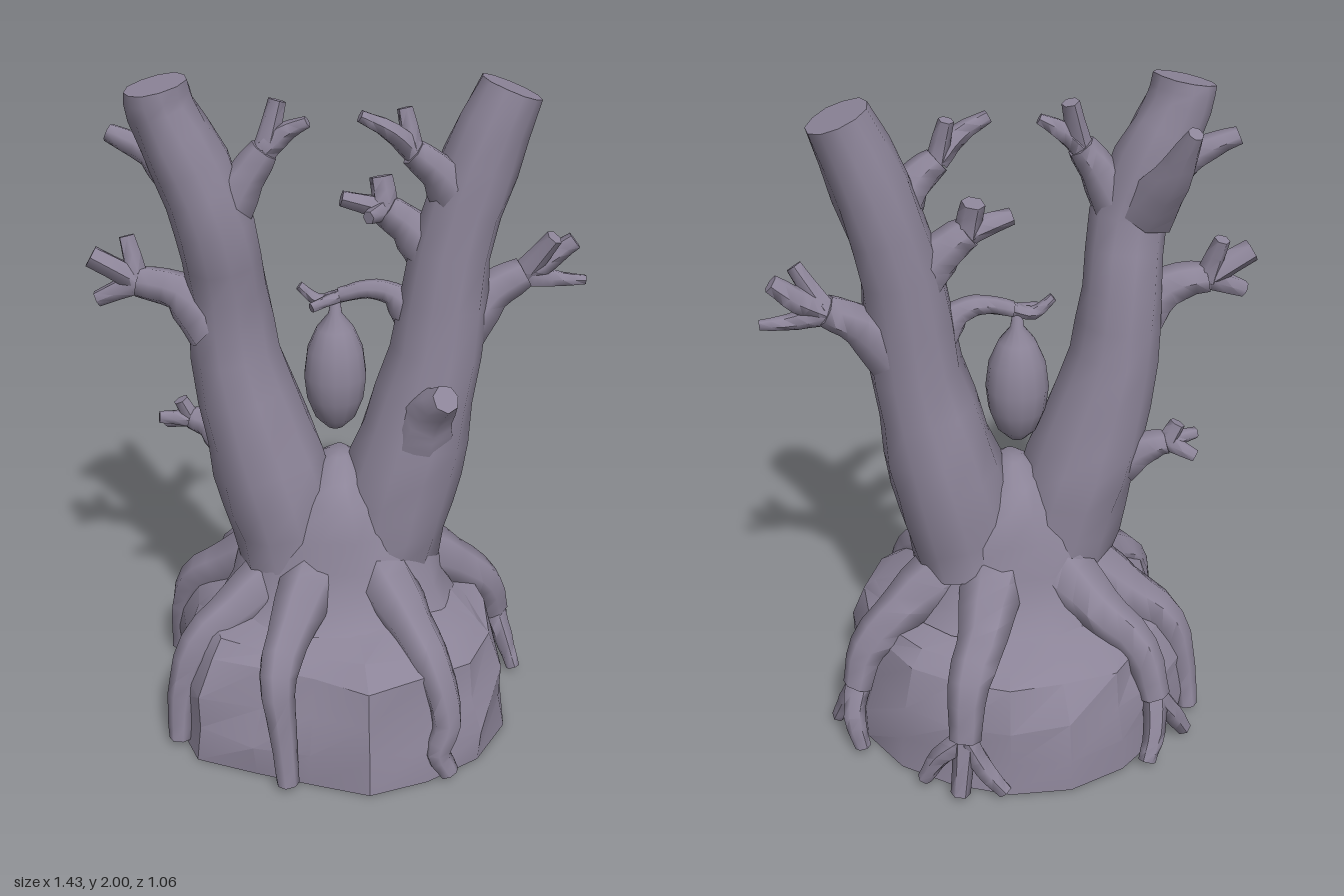
import * as THREE from 'three';
import { toCreasedNormals } from 'three/addons/utils/BufferGeometryUtils.js';

const V = (p) => new THREE.Vector3(p[0], p[1], p[2]);
const bark = new THREE.MeshStandardMaterial({ color: 0x8c8498 });
bark.name = 'grey violet bark';

// small seeded noise, -1..1
function makeRandom(seed) {
  let s = seed;
  return () => ((s = (s * 16807) % 2147483647) / 2147483647) * 2 - 1;
}

// skin a stack of equal rings, closing the chosen ends
function loft(rings, crease, closed = [0, rings.length - 1]) {
  const n = rings[0].length, pos = [], index = [];
  for (const ring of rings) for (const p of ring) pos.push(p.x, p.y, p.z);
  for (let i = 0; i < rings.length - 1; i++) {
    for (let j = 0; j < n; j++) {
      const k = (j + 1) % n, a = i * n + j, b = i * n + k;
      index.push(a, b, b + n, a, b + n, a + n);
    }
  }
  for (const end of closed) {
    const c = rings[end].reduce((s, p) => s.add(p), new THREE.Vector3()).divideScalar(n);
    const ci = pos.length / 3;
    pos.push(c.x, c.y, c.z);
    for (let j = 0; j < n; j++) {
      const a = end * n + j, b = end * n + (j + 1) % n;
      if (end) index.push(ci, a, b); else index.push(ci, b, a);
    }
  }
  const g = new THREE.BufferGeometry();
  g.setAttribute('position', new THREE.Float32BufferAttribute(pos, 3));
  g.setIndex(index);
  return toCreasedNormals(g, crease);
}

// tapered limb through points [x, y, z, radius], open where it is rooted
function limb(points, { sides = 7, steps = 3, rough = 0.06, depth = 1, seed = 7 } = {}) {
  const rnd = makeRandom(seed), rings = [];
  const curve = new THREE.CatmullRomCurve3(points.map(V));
  const count = (points.length - 1) * steps;
  const normal = new THREE.Vector3(0.3, 0.1, 1);
  for (let i = 0; i <= count; i++) {
    const t = i / count, f = t * (points.length - 1);
    const k = Math.min(Math.floor(f), points.length - 2);
    const r = THREE.MathUtils.lerp(points[k][3], points[k + 1][3], f - k);
    const c = curve.getPoint(t), tan = curve.getTangent(t);
    normal.addScaledVector(tan, -normal.dot(tan)).normalize();
    const side = tan.clone().cross(normal);
    const ring = [];
    for (let j = 0; j < sides; j++) {
      const a = (j / sides) * Math.PI * 2, rr = r * (1 + rough * rnd());
      const p = c.clone().addScaledVector(normal, Math.cos(a) * rr).addScaledVector(side, Math.sin(a) * rr);
      p.z = c.z + (p.z - c.z) * depth;
      p.y = Math.max(p.y, 0);
      ring.push(p);
    }
    rings.push(ring);
  }
  return loft(rings, 1.05, [count]);
}

// stacked level rings from levels [y, half width, half depth, jitter] and an outline of radii
function stack(levels, outline, seed, crease, closed) {
  const rnd = makeRandom(seed);
  return loft(levels.map(([y, w, d, jit]) => outline.map((r, i) => {
    const a = (i / outline.length) * Math.PI * 2, k = r + jit * rnd();
    return new THREE.Vector3(Math.cos(a) * k * w, y + jit * 0.5 * rnd(), -Math.sin(a) * k * d);
  })), crease, closed);
}

export function createModel() {
  const model = new THREE.Group();
  const add = (name, geometry, parent = model) => {
    const mesh = new THREE.Mesh(geometry, bark);
    mesh.name = name;
    parent.add(mesh);
    return mesh;
  };

  // a stem with forks growing out of its last point
  const branch = (name, stem, forks) => {
    const group = new THREE.Group();
    group.name = name;
    model.add(group);
    add('stem', limb(stem, { seed: 11 }), group);
    const tip = stem[stem.length - 1];
    forks.forEach((f, i) => {
      const path = Array.isArray(f[0]) ? f : [f];
      add('fork', limb([[tip[0], tip[1], tip[2], tip[3] * 0.85], ...path], { sides: 6, seed: 20 + i }), group);
    });
  };

  // rocky mound with a jagged outline
  const outline = [0.51, 0.52, 0.52, 0.51, 0.52, 0.53, 0.53, 0.53, 0.56, 0.5, 0.54, 0.56, 0.49, 0.48, 0.53, 0.53, 0.55, 0.55];
  add('rockMound', stack([
    [0, 1, 1, 0], [0.11, 0.995, 0.985, 0.02], [0.22, 0.95, 0.94, 0.025], [0.335, 0.9, 0.87, 0.025],
    [0.375, 0.79, 0.74, 0.025], [0.41, 0.62, 0.54, 0.02], [0.44, 0.45, 0.38, 0.01],
  ], outline, 42, 0.45, [0]));

  // twin trunks and the flared body joining them
  const trunk = { sides: 11, steps: 2, rough: 0.05, depth: 1.06 };
  add('rightTrunk', limb([
    [-0.14, 0.56, 0, 0.172], [-0.185, 0.75, 0, 0.175], [-0.24, 0.95, -0.005, 0.162], [-0.303, 1.2, -0.01, 0.13],
    [-0.32, 1.4, 0, 0.118], [-0.345, 1.6, 0.045, 0.113], [-0.4, 1.76, 0.04, 0.106], [-0.473, 1.92, 0.045, 0.092], [-0.487, 1.985, 0.05, 0.087],
  ], { ...trunk, seed: 5 }));
  add('leftTrunk', limb([
    [0.135, 0.56, -0.01, 0.172], [0.175, 0.75, -0.01, 0.175], [0.225, 0.95, -0.01, 0.162],
    [0.28, 1.2, -0.01, 0.134], [0.315, 1.5, -0.025, 0.117], [0.385, 1.75, -0.035, 0.108], [0.466, 1.958, -0.045, 0.09],
  ], { ...trunk, seed: 9 }));
  add('trunkBody', stack([
    [0.4, 0.36, 0.3, 0], [0.46, 0.325, 0.25, 0.03], [0.56, 0.305, 0.215, 0.03], [0.66, 0.25, 0.2, 0.03],
    [0.76, 0.15, 0.175, 0.03], [0.83, 0.08, 0.13, 0.02], [0.875, 0.03, 0.05, 0],
  ], Array(14).fill(1), 15, 1.05, [6]));

  // branches of the right trunk
  branch('rightMiddleBranch', [[-0.36, 1.3, 0.02, 0.1], [-0.46, 1.39, 0.01, 0.06], [-0.57, 1.415, 0, 0.046]],
    [[-0.7, 1.49, 0, 0.034], [-0.6, 1.54, -0.03, 0.024], [-0.69, 1.365, 0.01, 0.024]]);
  branch('rightUpperBranch', [[-0.43, 1.72, 0.03, 0.075], [-0.52, 1.79, 0, 0.042], [-0.63, 1.84, -0.02, 0.026]], []);
  branch('rightRearSpike', [[-0.38, 1.64, -0.02, 0.085], [-0.42, 1.77, -0.12, 0.055], [-0.45, 1.91, -0.2, 0.022]], []);
  branch('rightInnerBranch', [[-0.32, 1.62, 0.04, 0.085], [-0.25, 1.74, 0.05, 0.056], [-0.2, 1.81, 0.05, 0.042]],
    [[-0.165, 1.94, 0.03, 0.025], [[-0.15, 1.855, 0.05, 0.03], [-0.085, 1.89, 0.06, 0.016]]]);
  branch('rightLowerBranch', [[-0.33, 0.87, -0.06, 0.075], [-0.4, 0.92, -0.09, 0.047], [-0.45, 0.935, -0.1, 0.036]],
    [[-0.48, 0.995, -0.1, 0.024], [-0.545, 0.945, -0.08, 0.018], [-0.53, 0.9, -0.14, 0.018]]);

  // branches of the left trunk
  branch('leftOuterBranch', [[0.34, 1.27, -0.03, 0.1], [0.44, 1.37, -0.05, 0.062], [0.53, 1.42, -0.06, 0.046]],
    [[0.605, 1.54, -0.02, 0.025], [[0.6, 1.46, -0.07, 0.036], [0.67, 1.515, -0.07, 0.026]], [[0.61, 1.4, -0.07, 0.026], [0.71, 1.395, -0.07, 0.014]]]);
  branch('leftUpperBranch', [[0.34, 1.64, -0.01, 0.085], [0.27, 1.74, 0.02, 0.055], [0.2, 1.8, 0.03, 0.04]],
    [[[0.14, 1.86, 0.05, 0.03], [0.055, 1.905, 0.06, 0.018]], [0.175, 1.915, 0.01, 0.022]]);
  branch('leftInnerBranch', [[0.26, 1.5, -0.03, 0.085], [0.19, 1.57, -0.04, 0.058], [0.13, 1.615, -0.04, 0.047]],
    [[0.005, 1.65, -0.03, 0.024], [0.115, 1.705, -0.06, 0.034], [0.08, 1.61, 0.02, 0.02]]);
  branch('frontStub', [[0.235, 0.95, 0.07, 0.1], [0.255, 1.05, 0.11, 0.08], [0.3, 1.14, 0.2, 0.04]], []);
  branch('podBranch', [[0.22, 1.3, -0.02, 0.07], [0.15, 1.37, -0.02, 0.036], [0.08, 1.385, -0.02, 0.028], [0, 1.365, -0.02, 0.023]],
    [[[-0.06, 1.35, -0.02, 0.02], [-0.115, 1.395, -0.02, 0.013]], [-0.08, 1.345, 0.03, 0.014]]);

  // hanging pod
  const profile = [[0, 0.945], [0.025, 0.95], [0.06, 0.985], [0.085, 1.05], [0.093, 1.12], [0.083, 1.2], [0.055, 1.265], [0.02, 1.31], [0.012, 1.37], [0, 1.37]];
  const pod = add('pod', new THREE.LatheGeometry(profile.map(([x, y]) => new THREE.Vector2(x, y)), 14));
  pod.position.set(-0.012, 0, -0.02);

  // roots gripping the mound
  branch('frontRightRoot', [[-0.08, 0.53, 0.13, 0.1], [-0.14, 0.43, 0.28, 0.075], [-0.18, 0.35, 0.42, 0.055], [-0.165, 0.18, 0.46, 0.042], [-0.15, 0.02, 0.49, 0.034]], []);
  branch('frontLeftRoot', [[0.12, 0.53, 0.12, 0.1], [0.21, 0.43, 0.25, 0.075], [0.28, 0.33, 0.36, 0.056], [0.32, 0.18, 0.41, 0.045], [0.295, 0.09, 0.43, 0.04], [0.33, 0.02, 0.44, 0.03]], []);
  branch('leftRoot', [[0.2, 0.52, -0.05, 0.11], [0.35, 0.43, -0.1, 0.08], [0.47, 0.32, -0.14, 0.058], [0.51, 0.2, -0.17, 0.046]],
    [[[0.54, 0.12, -0.13, 0.033], [0.575, 0.02, -0.09, 0.022]], [[0.53, 0.12, -0.22, 0.033], [0.51, 0.02, -0.25, 0.024]]]);
  branch('rearLeftRoot', [[0.08, 0.53, -0.13, 0.11], [0.14, 0.44, -0.3, 0.08], [0.2, 0.36, -0.42, 0.06], [0.22, 0.2, -0.47, 0.046]],
    [[0.24, 0.02, -0.5, 0.03], [[0.17, 0.1, -0.49, 0.033], [0.11, 0.02, -0.515, 0.024]], [[0.29, 0.13, -0.45, 0.033], [0.34, 0.03, -0.43, 0.022]]]);
  branch('rearRightRoot', [[-0.13, 0.53, -0.11, 0.11], [-0.23, 0.44, -0.22, 0.08], [-0.34, 0.35, -0.32, 0.06], [-0.38, 0.2, -0.37, 0.048]],
    [[[-0.37, 0.1, -0.42, 0.035], [-0.34, 0.02, -0.46, 0.026]], [[-0.44, 0.11, -0.35, 0.035], [-0.49, 0.02, -0.33, 0.026]]]);
  branch('rightFrontRoot', [[-0.18, 0.5, 0.06, 0.1], [-0.31, 0.41, 0.14, 0.08], [-0.43, 0.32, 0.21, 0.06], [-0.48, 0.16, 0.25, 0.046], [-0.49, 0.02, 0.28, 0.034]], []);
  branch('rightRearRoot', [[-0.2, 0.51, -0.05, 0.11], [-0.34, 0.42, -0.11, 0.08], [-0.47, 0.32, -0.16, 0.06], [-0.52, 0.15, -0.19, 0.042], [-0.535, 0.02, -0.22, 0.032]], []);

  return model;
}
